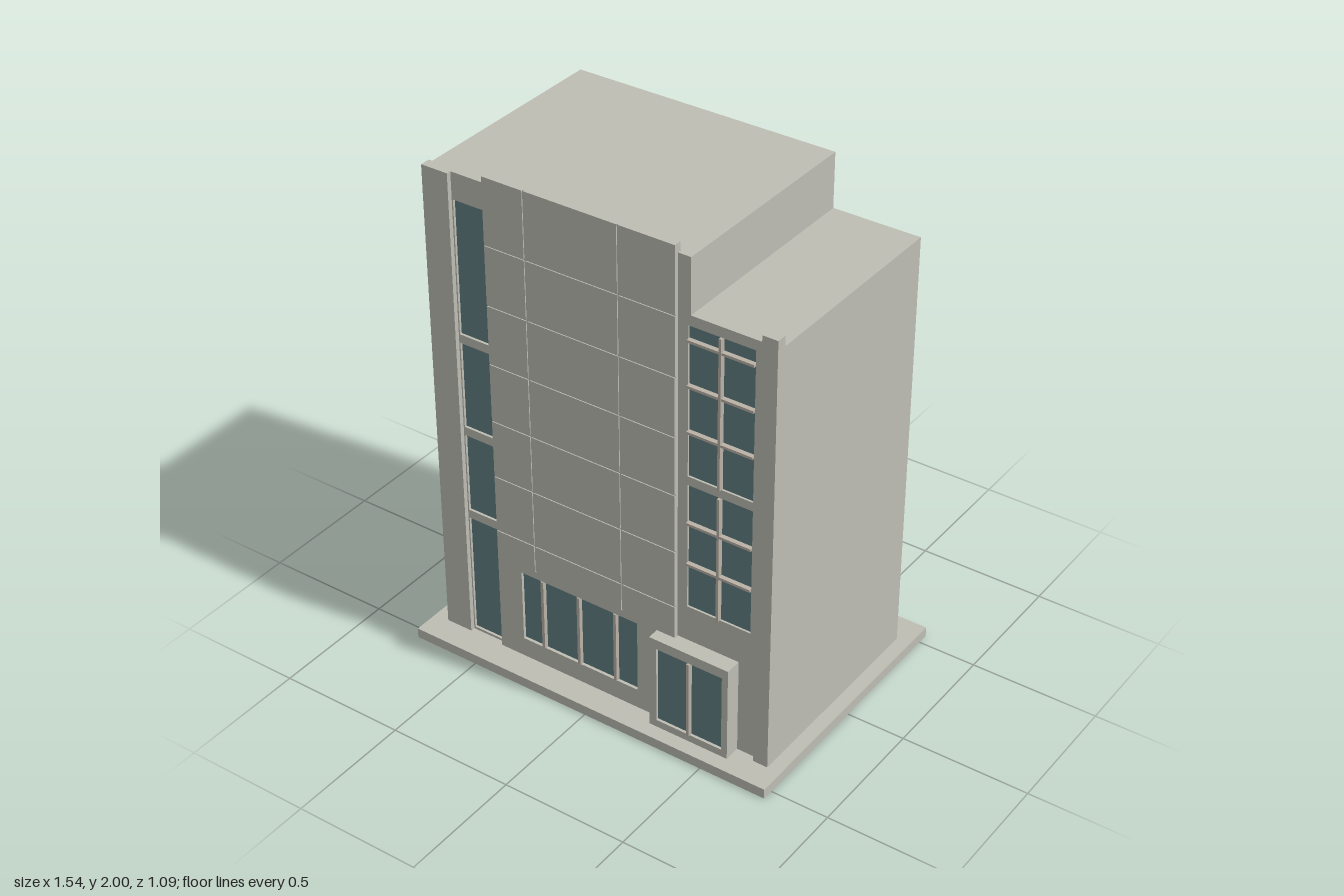
import * as THREE from 'three';

export function createModel() {
  const model = new THREE.Group();
  model.name = 'building';
  const wall = new THREE.MeshStandardMaterial({ name: 'concrete', color: 0xbdbdb4 });
  const glass = new THREE.MeshStandardMaterial({ name: 'glass', color: 0x638084 });
  const trim = new THREE.MeshStandardMaterial({ name: 'window trim', color: 0xbab2a6 });

  // Box given by its limits on each axis
  function box(name, mat, x0, x1, y0, y1, z0, z1) {
    const mesh = new THREE.Mesh(new THREE.BoxGeometry(x1 - x0, y1 - y0, z1 - z0), mat);
    mesh.position.set((x0 + x1) / 2, (y0 + y1) / 2, (z0 + z1) / 2);
    mesh.name = name;
    model.add(mesh);
  }

  const loop = (path, x0, x1, y0, y1) =>
    path.moveTo(x0, y0).lineTo(x1, y0).lineTo(x1, y1).lineTo(x0, y1).closePath();

  // Flat wall panel with rectangular openings [x0, x1, y0, y1]
  function panel(name, x0, x1, y0, y1, z0, z1, openings) {
    const shape = loop(new THREE.Shape(), x0, x1, y0, y1);
    for (const o of openings) shape.holes.push(loop(new THREE.Path(), ...o));
    const geo = new THREE.ExtrudeGeometry(shape, { depth: z1 - z0, bevelEnabled: false });
    const mesh = new THREE.Mesh(geo, wall);
    mesh.position.z = z0;
    mesh.name = name;
    model.add(mesh);
  }

  // Base slab and the two main volumes
  box('baseSlab', wall, -0.77, 0.77, 0, 0.04, -0.545, 0.545);
  box('mainBlock', wall, -0.695, 0.37, 0.04, 1.965, -0.425, 0.405);
  box('lowerBlock', wall, 0.37, 0.715, 0.04, 1.75, -0.425, 0.405);

  // Corner piers
  box('rightPier', wall, -0.71, -0.6, 0.04, 1.965, 0.4, 0.44);
  box('leftPier', wall, 0.655, 0.715, 0.04, 1.79, 0.402, 0.443);

  // Tall window strip beside the central panel
  const strip = [[0.05, 0.55], [0.585, 0.91], [0.945, 1.295], [1.33, 1.86]]
    .map(([y0, y1]) => [-0.595, -0.465, y0, y1]);
  panel('stripWall', -0.6, -0.455, 0.04, 1.965, 0.405, 0.422, strip);
  for (const o of strip) box('stripWindow', glass, ...o, 0.405, 0.412);

  // Central panel: lower part with window opening, upper part of tiles with joints
  const px0 = -0.455, px1 = 0.32, face = 0.44, joint = 0.003;
  const lobby = [-0.35, 0.16, 0.12, 0.42];
  panel('panelFoot', px0, px1, 0.04, 0.45, 0.405, face, [lobby]);
  box('panelBacking', wall, px0, px1, 0.45, 2, 0.41, face - 0.004);
  const cols = [px0, -0.285, 0.095, px1];
  const rows = [0.45, 0.565, 0.8, 1.035, 1.27, 1.505, 1.74, 2];
  for (let r = 0; r < rows.length - 1; r++)
    for (let c = 0; c < 3; c++)
      box('panelTile', wall,
        cols[c] + (c > 0 ? joint : 0), cols[c + 1] - (c < 2 ? joint : 0),
        rows[r] + (r > 0 ? joint : 0), rows[r + 1] - (r < 6 ? joint : 0),
        face - 0.004, face);

  // Ground-floor window
  box('lobbyWindow', glass, ...lobby, 0.42, 0.428);
  for (const x of [-0.255, -0.095, 0.065])
    box('lobbyMullion', trim, x - 0.006, x + 0.006, 0.12, 0.42, 0.428, 0.445);

  // Gridded windows on the lower block
  const grids = [
    { y0: 0.575, y1: 1.085, bars: [0.76, 0.93] },
    { y0: 1.12, y1: 1.71, bars: [1.3, 1.48, 1.655] },
  ];
  panel('gridWall', 0.32, 0.655, 0.04, 1.75, 0.405, 0.422,
    grids.map((g) => [0.36, 0.62, g.y0, g.y1]));
  box('gridWallTop', wall, 0.32, 0.37, 1.75, 1.965, 0.405, 0.422);
  for (const g of grids) {
    box('gridWindow', glass, 0.36, 0.62, g.y0, g.y1, 0.405, 0.414);
    box('gridMullion', trim, 0.485, 0.495, g.y0, g.y1, 0.414, 0.434);
    for (const y of g.bars) box('gridBar', trim, 0.36, 0.62, y - 0.005, y + 0.005, 0.414, 0.432);
  }

  // Entrance porch with double door
  const doors = [0.275, 0.55, 0.07, 0.39];
  panel('entranceFrame', 0.245, 0.575, 0.04, 0.43, 0.41, 0.487, [doors]);
  box('entranceDoors', glass, ...doors, 0.468, 0.476);
  box('doorMullion', trim, 0.407, 0.418, 0.07, 0.39, 0.476, 0.495);

  return model;
}
